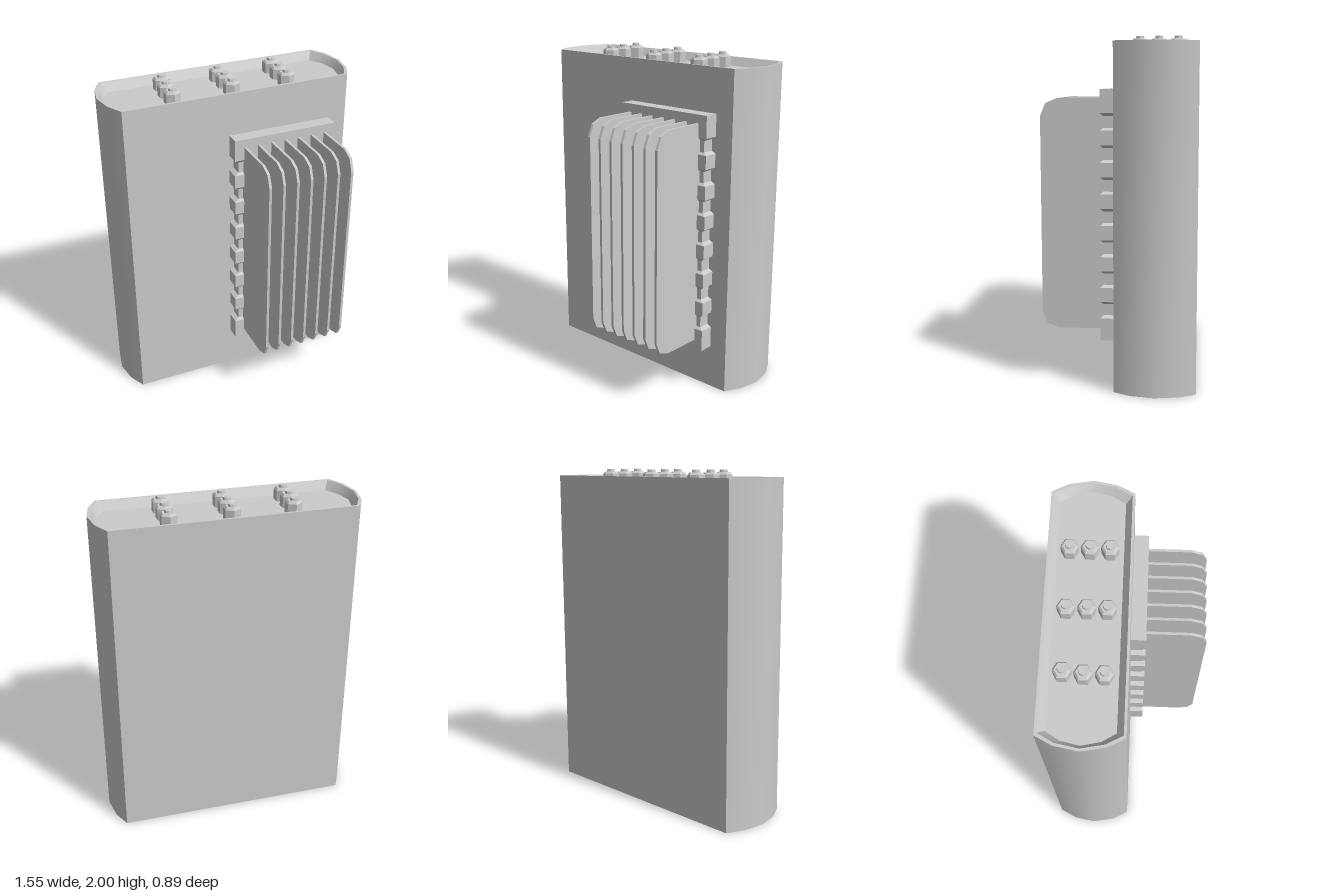
import * as THREE from 'three';
import { toCreasedNormals } from 'three/addons/utils/BufferGeometryUtils.js';

// Skins a stack of equal convex rings (counter-clockwise from above) and caps both ends
function loft(rings, crease) {
  const n = rings[0].length, last = (rings.length - 1) * n, index = [];
  for (let r = 0; r < rings.length - 1; r++) {
    for (let i = 0; i < n; i++) {
      const a = r * n + i, b = r * n + (i + 1) % n;
      index.push(a, b, b + n, a, b + n, a + n);
    }
  }
  for (let i = 1; i < n - 1; i++) {
    index.push(0, i + 1, i, last, last + i, last + i + 1);
  }
  const geo = new THREE.BufferGeometry();
  geo.setAttribute('position', new THREE.Float32BufferAttribute(rings.flat(2), 3));
  geo.setIndex(index);
  return toCreasedNormals(geo, crease);
}

export function createModel() {
  const model = new THREE.Group();
  const grey = new THREE.MeshStandardMaterial({ color: 0xcccccc });
  const flat = new THREE.MeshStandardMaterial({ color: 0xcccccc, flatShading: true });

  const add = (name, geo, mat, x = 0, y = 0, z = 0) => {
    const mesh = new THREE.Mesh(geo, mat);
    mesh.name = name;
    mesh.position.set(x, y, z);
    model.add(mesh);
    return mesh;
  };

  // Casing with rounded ends and sloped recesses in top and bottom
  const half = [[0.7, 0.232], [0.75, 0.135], [0.775, 0], [0.75, -0.135], [0.7, -0.232]];
  const outline = [...half, ...half.map(([x, z]) => [-x, -z])];
  const ring = (y, sx, sz) => outline.map(([x, z]) => [x * sx, y, z * sz - 0.213]);
  add('casing', loft([
    ring(0.05, 0.945, 0.785),
    ring(0, 0.98, 0.94),
    ring(0, 1, 1),
    ring(1.96, 1, 1),
    ring(1.96, 0.98, 0.94),
    ring(1.91, 0.945, 0.785),
  ], 0.5), grey);

  // Terminal nuts with bolt tips in three rows
  const nutGeo = new THREE.LatheGeometry([
    [0, 0], [0.05, 0], [0.05, 0.063], [0.039, 0.075], [0, 0.075],
  ].map(([r, y]) => new THREE.Vector2(r, y)), 6);
  const boltGeo = new THREE.CylinderGeometry(0.022, 0.026, 0.03, 8);
  for (const z of [-0.325, -0.215, -0.105]) {
    for (const x of [z < -0.3 ? -0.355 : -0.365, 0, 0.353]) {
      add('terminalNut', nutGeo, flat, x, 1.91, z);
      add('terminalBolt', boltGeo, flat, x, 1.985, z);
    }
  }

  // Backing block, grooved all round between its ribs
  const slab = (y, inset) => {
    const x0 = -0.067 + inset, x1 = 0.585 - inset, z1 = 0.105 - inset * 0.6;
    return [[x0, y, 0.01], [x0, y, z1], [x1, y, z1], [x1, y, 0.01]];
  };
  const slabs = [slab(0.265, 0)];
  for (let i = 0; i < 7; i++) {
    const y = 0.445 + i * 0.1795;
    slabs.push(slab(y - 0.05, 0), slab(y - 0.037, 0.027),
      slab(y + 0.03, 0.027), slab(y + 0.047, 0));
  }
  slabs.push(slab(1.7, 0));
  add('finBlock', loft(slabs, 0.2), grey);

  // Upright cooling fins with clipped outer corners
  const fin = new THREE.Shape([
    [0.08, 0.32], [0.355, 0.32], [0.42, 0.345], [0.45, 0.415],
    [0.45, 1.55], [0.42, 1.622], [0.355, 1.65], [0.08, 1.65],
  ].map(([z, y]) => new THREE.Vector2(z, y)));
  const finGeo = new THREE.ExtrudeGeometry(fin, { depth: 0.016, bevelEnabled: false });
  finGeo.rotateY(-Math.PI / 2).translate(0.008, 0, 0);
  for (let i = 0; i < 7; i++) add('coolingFin', finGeo, flat, i * 0.0867);

  return model;
}
